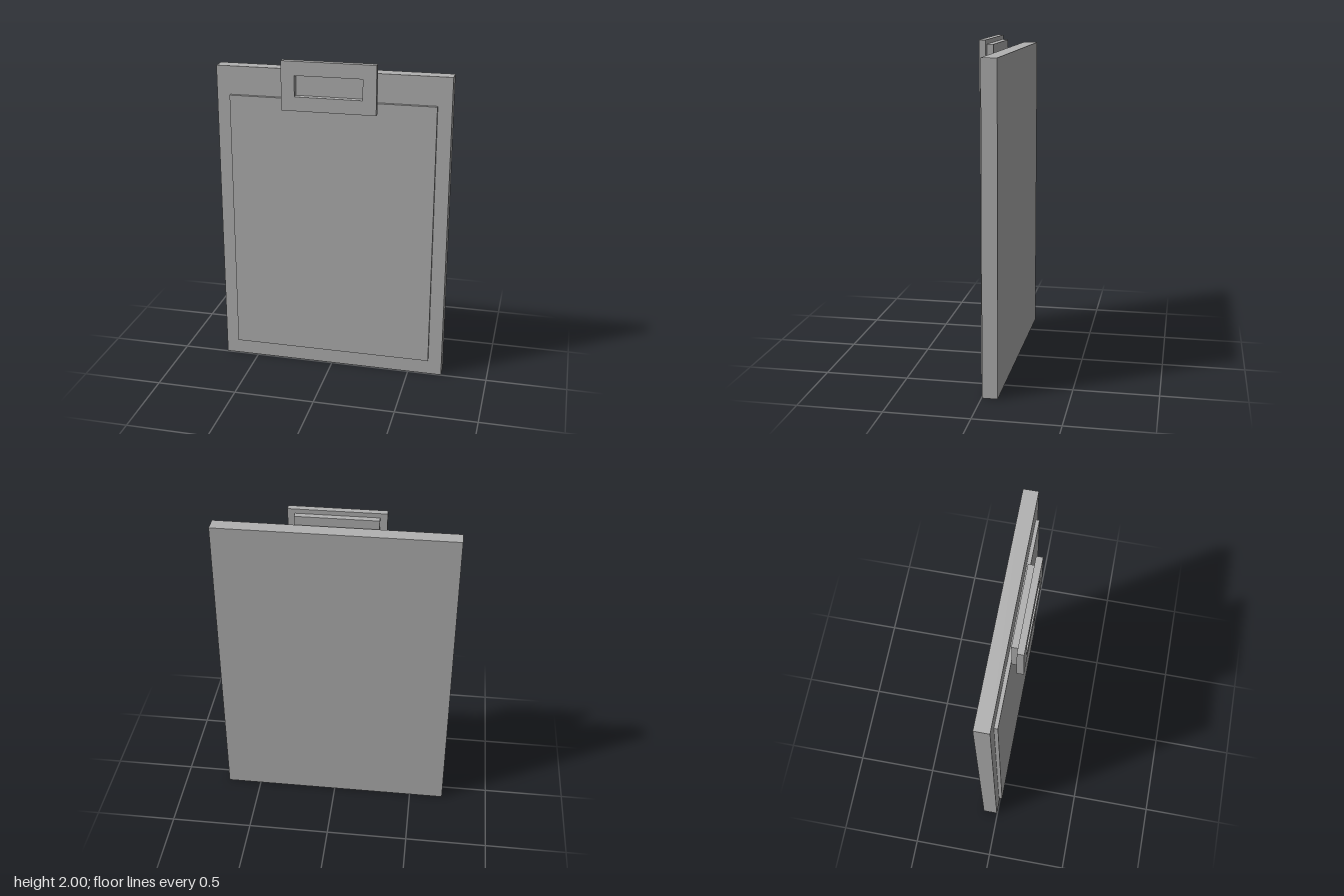
import * as THREE from 'three';

const grey = new THREE.MeshStandardMaterial({ color: 0xb2b2b2 });
grey.name = 'grey';

// Box given by half width and its y and z ranges
function slab(name, halfWidth, y0, y1, z0, z1) {
  const geometry = new THREE.BoxGeometry(2 * halfWidth, y1 - y0, z1 - z0);
  geometry.translate(0, (y0 + y1) / 2, (z0 + z1) / 2);
  const mesh = new THREE.Mesh(geometry, grey);
  mesh.name = name;
  return mesh;
}

// Traces a rectangle centred on x = 0
function rectangle(path, halfWidth, y0, y1) {
  path.moveTo(-halfWidth, y0);
  path.lineTo(halfWidth, y0);
  path.lineTo(halfWidth, y1);
  path.lineTo(-halfWidth, y1);
  path.closePath();
  return path;
}

export function createModel() {
  const clipboard = new THREE.Group();
  clipboard.name = 'clipboard';

  // Backing board and the sheet lying on it
  clipboard.add(slab('board', 0.713, 0, 1.931, -0.094, -0.004));
  clipboard.add(slab('paper', 0.629, 0.101, 1.757, -0.004, 0.018));

  // Clip: solid block behind a plate with a rectangular window
  const clip = new THREE.Group();
  clip.name = 'clip';
  clip.add(slab('clipBlock', 0.243, 1.719, 1.973, 0.018, 0.055));

  const outline = rectangle(new THREE.Shape(), 0.285, 1.703, 2);
  outline.holes.push(rectangle(new THREE.Path(), 0.204, 1.789, 1.915));
  const plateGeometry = new THREE.ExtrudeGeometry(outline, { depth: 0.039, bevelEnabled: false });
  plateGeometry.translate(0, 0, 0.055);
  const plate = new THREE.Mesh(plateGeometry, grey);
  plate.name = 'clipPlate';
  clip.add(plate);

  clipboard.add(clip);
  return clipboard;
}
